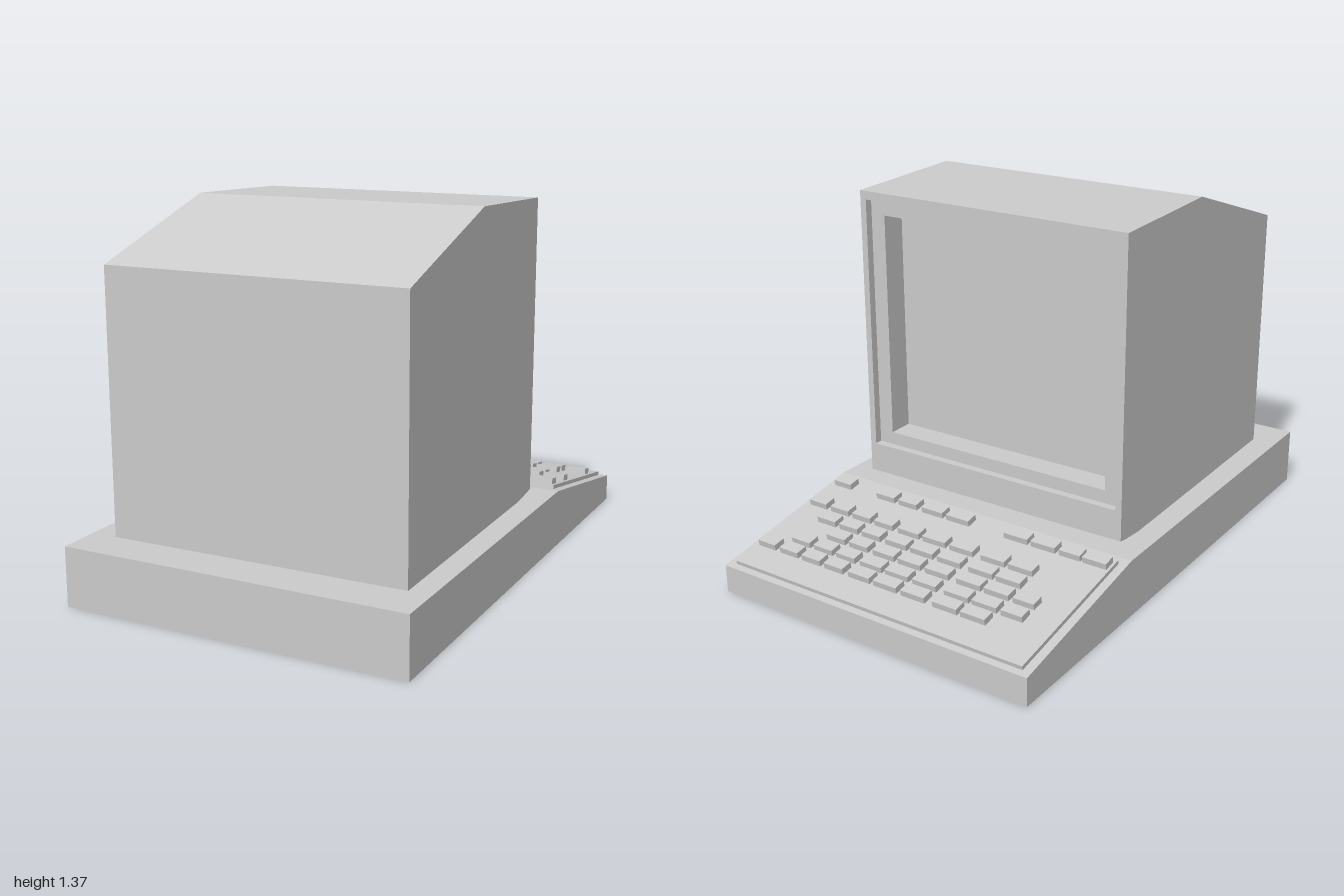
import * as THREE from 'three';

const grey = new THREE.MeshStandardMaterial({ color: 0xcccccc, flatShading: true });

function addMesh(parent, name, geometry) {
  const mesh = new THREE.Mesh(geometry, grey);
  mesh.name = name;
  parent.add(mesh);
  return mesh;
}

// Extrudes a side profile of [z, y] points across the width, centred on x.
function sideExtrude(points, width) {
  const shape = new THREE.Shape(points.map(([z, y]) => new THREE.Vector2(-z, y)));
  const geometry = new THREE.ExtrudeGeometry(shape, { depth: width, bevelEnabled: false });
  return geometry.translate(0, 0, -width / 2).rotateY(Math.PI / 2);
}

function rectPoints(x, y0, y1) {
  return [[-x, y0], [x, y0], [x, y1], [-x, y1]].map(([px, py]) => new THREE.Vector2(px, py));
}

const HALF = 0.56, FRONT = -0.28, BOTTOM = 0.235, TOP = 1.35;
const topAt = z => TOP + (z - FRONT) * 0.0283;
const bottomAt = z => Math.max(0.22, BOTTOM - (z - FRONT) * 0.17);

// Rectangular ring around the screen; its outer edge follows the casing slopes.
function frame(holeX, holeY0, holeY1, z0, z1) {
  const shape = new THREE.Shape(rectPoints(HALF, BOTTOM, TOP));
  shape.holes.push(new THREE.Path(rectPoints(holeX, holeY0, holeY1)));
  const geometry = new THREE.ExtrudeGeometry(shape, { depth: z1 - z0, bevelEnabled: false });
  geometry.translate(0, 0, z0);
  const pos = geometry.attributes.position;
  for (let i = 0; i < pos.count; i++) {
    const y = pos.getY(i), z = pos.getZ(i);
    if (Math.abs(y - TOP) < 1e-4) pos.setY(i, topAt(z));
    if (Math.abs(y - BOTTOM) < 1e-4) pos.setY(i, bottomAt(z));
  }
  geometry.computeVertexNormals();
  return geometry;
}

export function createModel() {
  const model = new THREE.Group();
  model.name = 'desktopComputer';

  // Wedge-fronted base
  addMesh(model, 'base', sideExtrude(
    [[1, 0], [-1, 0], [-1, 0.105], [-0.35, 0.22], [1, 0.22]], 1.3));

  // Monitor, turned very slightly on the base
  const monitor = new THREE.Group();
  monitor.name = 'monitor';
  monitor.rotation.y = 0.008;
  model.add(monitor);
  const rimBack = FRONT + 0.03, screenZ = FRONT + 0.13;
  addMesh(monitor, 'casing', sideExtrude(
    [[0.84, 0.22], [screenZ, 0.22], [screenZ, topAt(screenZ)], [0.25, 1.365], [0.84, 1.175]], HALF * 2));
  addMesh(monitor, 'outerRim', frame(0.535, 0.35, 1.318, FRONT, rimBack));
  addMesh(monitor, 'screenBezel', frame(0.475, 0.4, 1.26, rimBack, screenZ));

  // Sloping keyboard; d is the distance down the slope
  const keyboard = new THREE.Group();
  keyboard.name = 'keyboard';
  const slope = Math.atan2(0.115, 0.65);
  keyboard.position.set(0, 0.22, -0.35);
  keyboard.rotation.x = -slope;
  model.add(keyboard);
  const down = z => (z + 0.35) / Math.cos(slope);

  const plate = addMesh(keyboard, 'keyPlate', new THREE.BoxGeometry(1.235, 0.03, 0.6));
  plate.position.set(0, 0, down(-0.68));

  // Keys: column centres and widths, then the columns used by each row
  const columns = [-0.56, -0.46, -0.35, -0.235, -0.1, 0.02, 0.135, 0.25, 0.355, 0.46, 0.565];
  const widths = [0.095, 0.085, 0.1, 0.1, 0.1, 0.1, 0.095, 0.085, 0.085, 0.085, 0.08];
  const rows = [
    [-0.845, [2, 3, 4, 5, 6, 7, 8, 9, 10]],
    [-0.78, [1, 2, 3, 4, 5, 6, 7, 8, 9]],
    [-0.71, [1, 2, 3, 4, 5, 6, 7, 8]],
    [-0.64, [2, 3, 4, 5, 6, 7, 8, 9]],
    [-0.567, [2, 3, 4, 5, 6, 7, 8, 9, 10]],
    [-0.425, [0, 1, 2, 3, 5, 6, 7, 8, 10]],
  ];
  for (const [z, used] of rows) {
    for (const c of used) {
      const key = addMesh(keyboard, 'key', new THREE.BoxGeometry(widths[c], 0.024, 0.047));
      key.position.set(columns[c], 0.026, down(z));
    }
  }
  return model;
}
